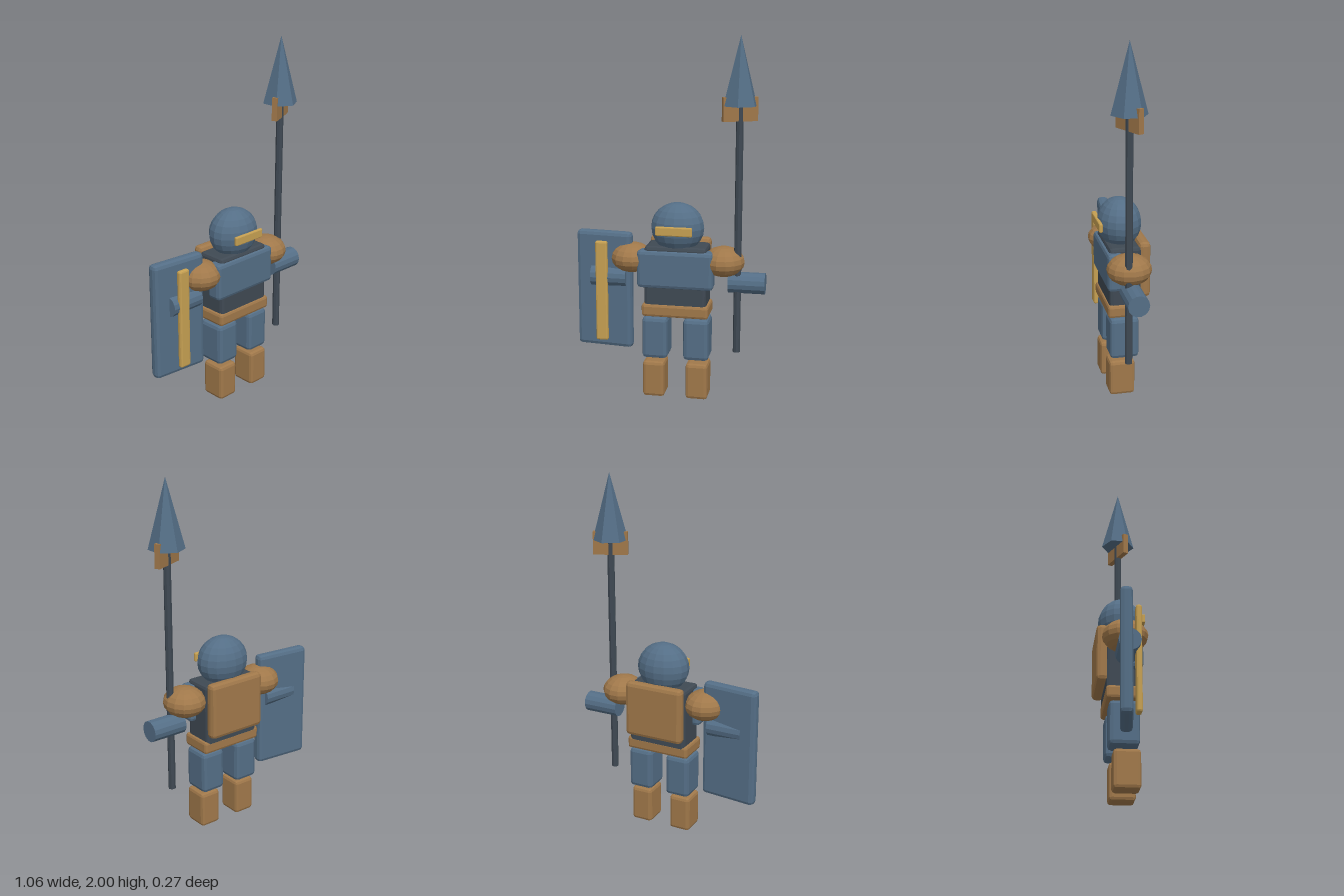
import * as THREE from 'three';
import { RoundedBoxGeometry } from 'three/addons/geometries/RoundedBoxGeometry.js';

function material(name, color) {
  const m = new THREE.MeshStandardMaterial({ color, flatShading: true });
  m.name = name;
  return m;
}

export function createModel() {
  const steel = material('steel blue', 0x546e86);
  const dark = material('dark iron', 0x3f4953);
  const leather = material('brown leather', 0xa0784a);
  const gold = material('gold', 0xc6a052);

  const model = new THREE.Group();
  model.name = 'spearGuard';
  const CX = 0.042; // middle of the body

  function add(name, geometry, mat, x, y, z) {
    const mesh = new THREE.Mesh(geometry, mat);
    mesh.name = name;
    mesh.position.set(x, y, z);
    model.add(mesh);
    return mesh;
  }
  const block = (name, mat, w, h, d, x, y, z, bevel = 0.018) =>
    add(name, new RoundedBoxGeometry(w, h, d, 1, bevel), mat, x, y, z);
  function ball(name, mat, rx, ry, rz, x, y, z, around, rings) {
    const g = new THREE.SphereGeometry(1, around, rings).scale(rx, ry, rz);
    return add(name, g, mat, x, y, z);
  }

  // Head with visor
  ball('helmet', steel, 0.147, 0.138, 0.12, CX, 0.965, 0.003, 16, 12);
  block('visor', gold, 0.2, 0.05, 0.02, CX, 0.966, 0.122, 0.006);

  // Torso
  block('torso', dark, 0.342, 0.36, 0.175, CX, 0.69, 0.003);
  block('chestPlate', steel, 0.42, 0.21, 0.09, CX, 0.743, 0.062, 0.02);
  block('belt', leather, 0.37, 0.072, 0.186, CX, 0.51, 0.008, 0.015);
  block('backpack', leather, 0.342, 0.315, 0.064, CX, 0.734, -0.104, 0.022);

  // Limbs, mirrored about the middle of the body
  for (const [side, s] of [['left', 1], ['right', -1]]) {
    block(side + 'Thigh', steel, 0.142, 0.238, 0.16, CX + s * 0.115, 0.347, 0.01, 0.022);
    block(side + 'Boot', leather, 0.123, 0.205, 0.142, CX + s * 0.121, 0.1075, 0.023, 0.018);
    ball(side + 'Shoulder', leather, 0.115, 0.083, 0.121, CX + s * 0.256, 0.786, 0.005, 14, 10);
    const arm = new THREE.CylinderGeometry(0.058, 0.058, 0.2, 14).rotateZ(Math.PI / 2);
    add(side + 'Forearm', arm, steel, CX + s * 0.385, 0.672, 0.006);
  }

  // Shield, turned slightly outward, with its gold stripe
  block('shield', steel, 0.32, 0.665, 0.065, -0.37, 0.594, -0.006, 0.022).rotation.y = -0.1;
  block('shieldStripe', gold, 0.068, 0.57, 0.03, -0.376, 0.595, 0.055, 0.01);

  // Spear
  const SX = 0.377, SZ = 0.025;
  add('spearShaft', new THREE.CylinderGeometry(0.02, 0.02, 1.38, 8), dark, SX, 0.97, SZ);
  add('spearTip', new THREE.ConeGeometry(0.096, 0.365, 6), steel, SX, 1.8175, SZ);
  add('spearCrossbar', new THREE.BoxGeometry(0.19, 0.127, 0.03), leather, SX, 1.618, SZ).rotation.y = 0.43;

  return model;
}
